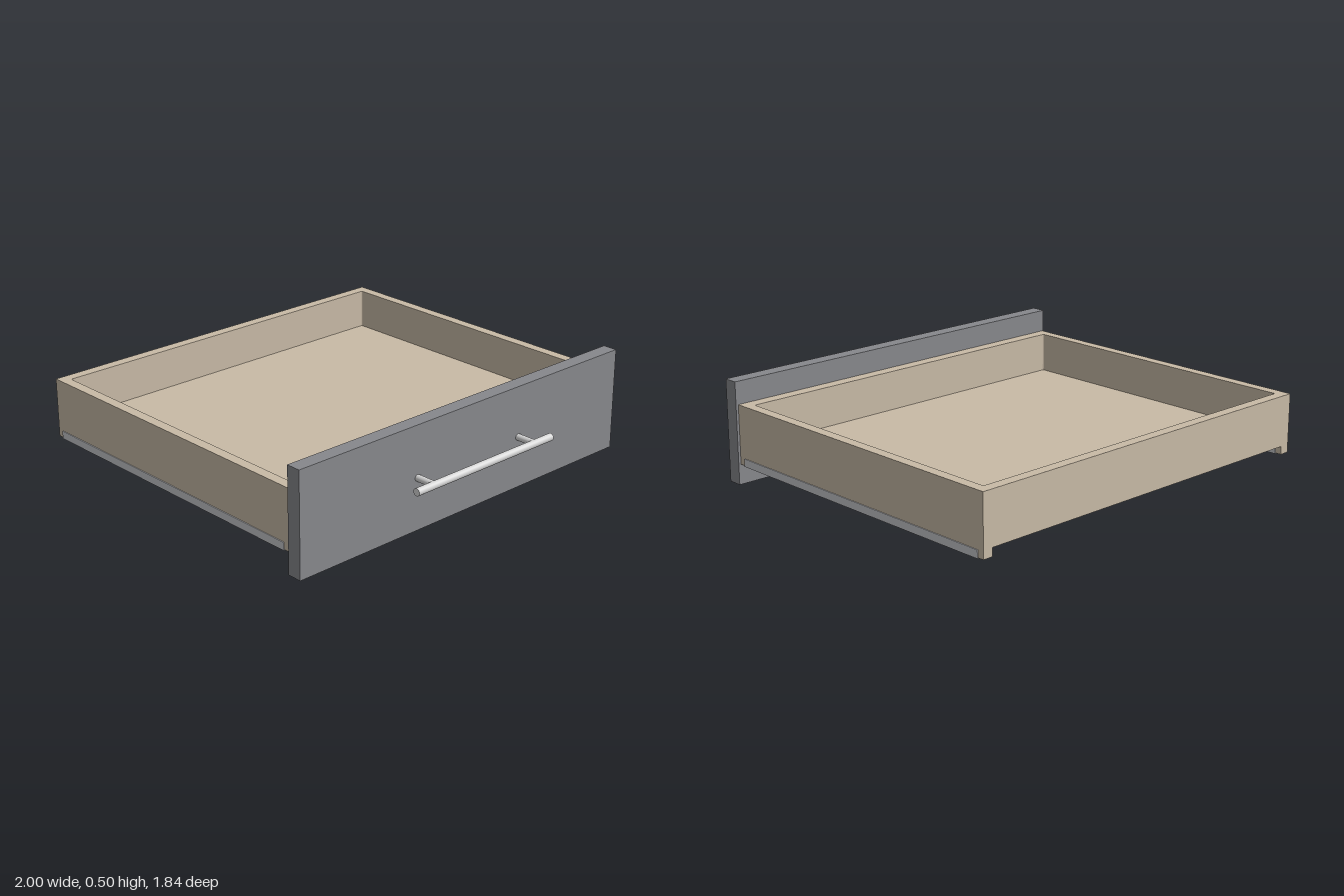
import * as THREE from 'three';

const material = (name, color) => {
  const m = new THREE.MeshStandardMaterial({ color });
  m.name = name;
  return m;
};

// Rectangle with rounded corners, as a Shape or a hole Path
function roundedRect(path, x0, y0, x1, y1, r) {
  path.moveTo(x0 + r, y0);
  path.lineTo(x1 - r, y0);
  path.quadraticCurveTo(x1, y0, x1, y0 + r);
  path.lineTo(x1, y1 - r);
  path.quadraticCurveTo(x1, y1, x1 - r, y1);
  path.lineTo(x0 + r, y1);
  path.quadraticCurveTo(x0, y1, x0, y1 - r);
  path.lineTo(x0, y0 + r);
  path.quadraticCurveTo(x0, y0, x0 + r, y0);
  return path;
}

export function createModel() {
  const wood = material('beige wood', 0xc8baa6);
  const paint = material('grey paint', 0x87888c);
  const metal = material('handle metal', 0xd6d6d6);
  const railMetal = material('rail metal', 0xc6c7cb);

  const drawer = new THREE.Group();
  drawer.name = 'drawer';

  const add = (name, geometry, mat, x, y, z, parent = drawer) => {
    const mesh = new THREE.Mesh(geometry, mat);
    mesh.name = name;
    mesh.position.set(x, y, z);
    parent.add(mesh);
    return mesh;
  };
  // Box given by its minimum and maximum corners
  const addBox = (name, mat, [x0, y0, z0], [x1, y1, z1]) =>
    add(name, new THREE.BoxGeometry(x1 - x0, y1 - y0, z1 - z0), mat,
      (x0 + x1) / 2, (y0 + y1) / 2, (z0 + z1) / 2);

  const W = 0.99, back = -0.922, front = 0.727;
  const under = 0.14, floorTop = 0.195, rim = 0.39;

  // Front panel
  addBox('frontPanel', paint, [-1, 0, 0.731], [1, 0.5, 0.803]);

  // Ring of four walls; shape y becomes -z
  const outline = new THREE.Shape();
  outline.moveTo(-W, -front);
  outline.lineTo(W, -front);
  outline.lineTo(W, -back);
  outline.lineTo(-W, -back);
  outline.closePath();
  outline.holes.push(roundedRect(new THREE.Path(), -0.94, -0.668, 0.94, 0.87, 0.008));
  const wallGeometry = new THREE.ExtrudeGeometry(outline,
    { depth: rim - under, bevelEnabled: false, curveSegments: 4 });
  wallGeometry.rotateX(-Math.PI / 2);
  add('walls', wallGeometry, wood, 0, under, 0);

  // Floor panel, flush with the underside of the walls
  addBox('floor', wood, [-0.945, under, -0.875], [0.945, floorTop, 0.673]);

  // Side runners below the walls, each wrapped by a metal rail
  for (const s of [-1, 1]) {
    const label = s > 0 ? 'left' : 'right';
    add(label + 'Runner', new THREE.BoxGeometry(0.05, 0.04, front - back), wood,
      s * (W - 0.025), 0.12, (front + back) / 2);
    add(label + 'Rail', new THREE.BoxGeometry(0.058, 0.038, 1.585), railMetal,
      s * 0.965, 0.116, -0.098);
  }

  // Bar handle on two posts
  const handle = new THREE.Group();
  handle.name = 'handle';
  drawer.add(handle);
  add('handleBar', new THREE.CylinderGeometry(0.018, 0.018, 0.86, 32), metal,
    0, 0.252, 0.903, handle).rotation.z = Math.PI / 2;
  for (const s of [-1, 1]) {
    add(s > 0 ? 'leftPost' : 'rightPost', new THREE.CylinderGeometry(0.016, 0.016, 0.105, 24), metal,
      s * 0.322, 0.252, 0.85, handle).rotation.x = Math.PI / 2;
  }

  return drawer;
}
